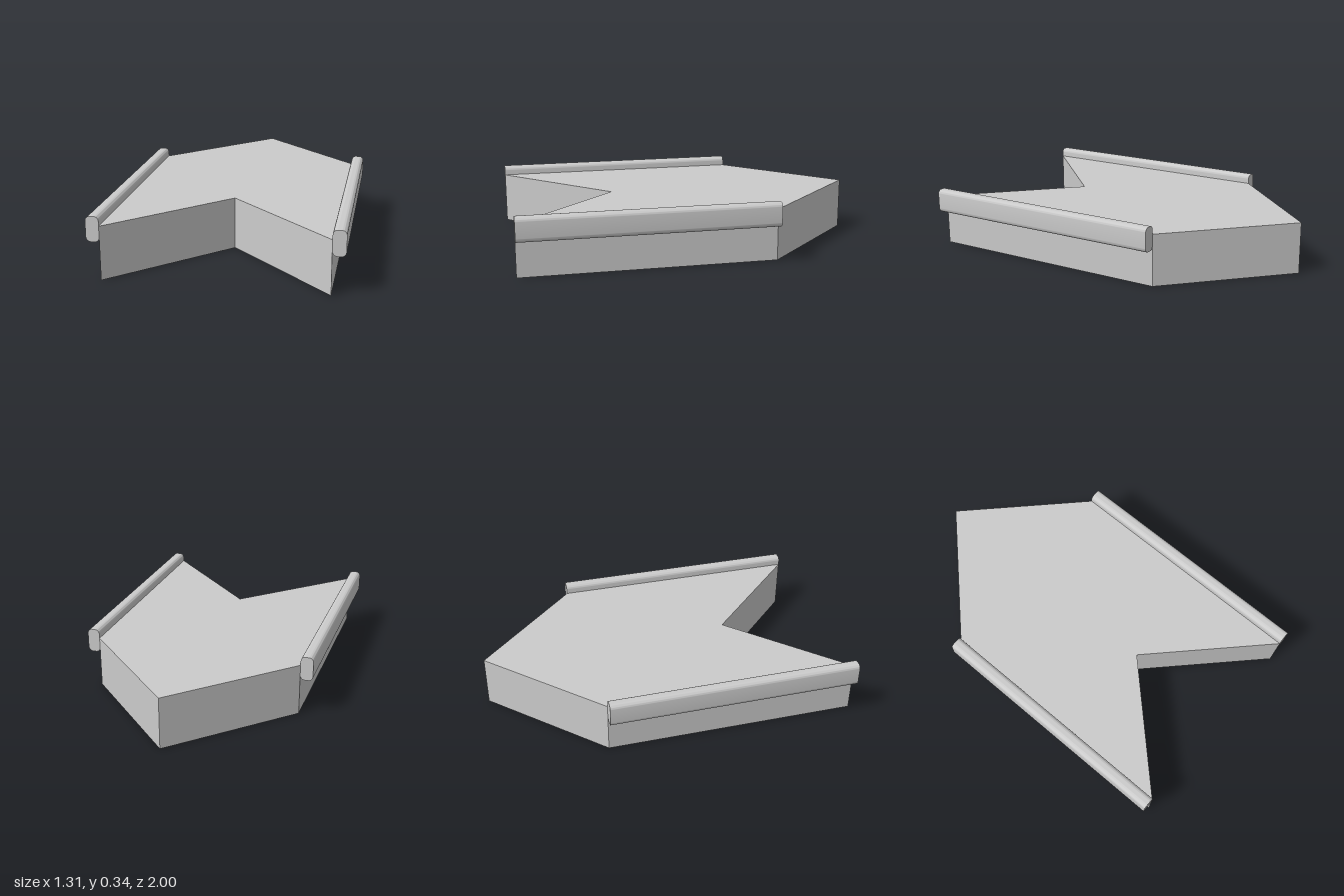
import * as THREE from 'three';
import { toCreasedNormals } from 'three/addons/utils/BufferGeometryUtils.js';

const HALF_WIDTH = 0.585, HEIGHT = 0.29;
const FRONT = 1, BACK = -0.415; // z extent of the straight sides

// Arrow-shaped slab: notched at the front, pointed at the back
function deckGeometry() {
  const outline = [
    [-HALF_WIDTH, FRONT], [0, FRONT - HALF_WIDTH], [HALF_WIDTH, FRONT],
    [HALF_WIDTH, BACK], [0, BACK - HALF_WIDTH], [-HALF_WIDTH, BACK],
  ];
  const shape = new THREE.Shape(outline.map(([x, z]) => new THREE.Vector2(x, -z)));
  return new THREE.ExtrudeGeometry(shape, { depth: HEIGHT, bevelEnabled: false }).rotateX(-Math.PI / 2);
}

// Rounded bar running along z
function railGeometry() {
  const w = 0.035, bottom = 0.205, top = 0.34, r = 0.025;
  const s = new THREE.Shape();
  s.absarc(w - r, bottom + r, r, -Math.PI / 2, 0);
  s.absarc(w - r, top - r, r, 0, Math.PI / 2);
  s.absarc(-w + r, top - r, r, Math.PI / 2, Math.PI);
  s.absarc(-w + r, bottom + r, r, Math.PI, Math.PI * 1.5);
  const geometry = new THREE.ExtrudeGeometry(s, { depth: FRONT - BACK, bevelEnabled: false, curveSegments: 6 });
  return toCreasedNormals(geometry.translate(0, 0, BACK), 0.6);
}

export function createModel() {
  const group = new THREE.Group();
  const material = new THREE.MeshStandardMaterial({ color: 0xcccccc });

  const deck = new THREE.Mesh(deckGeometry(), material);
  deck.name = 'deck';
  group.add(deck);

  // Matching rails on both sides
  const rail = railGeometry();
  for (const side of [-1, 1]) {
    const mesh = new THREE.Mesh(rail, material);
    mesh.name = side > 0 ? 'leftRail' : 'rightRail';
    mesh.position.x = side * (HALF_WIDTH + 0.035);
    group.add(mesh);
  }
  return group;
}
